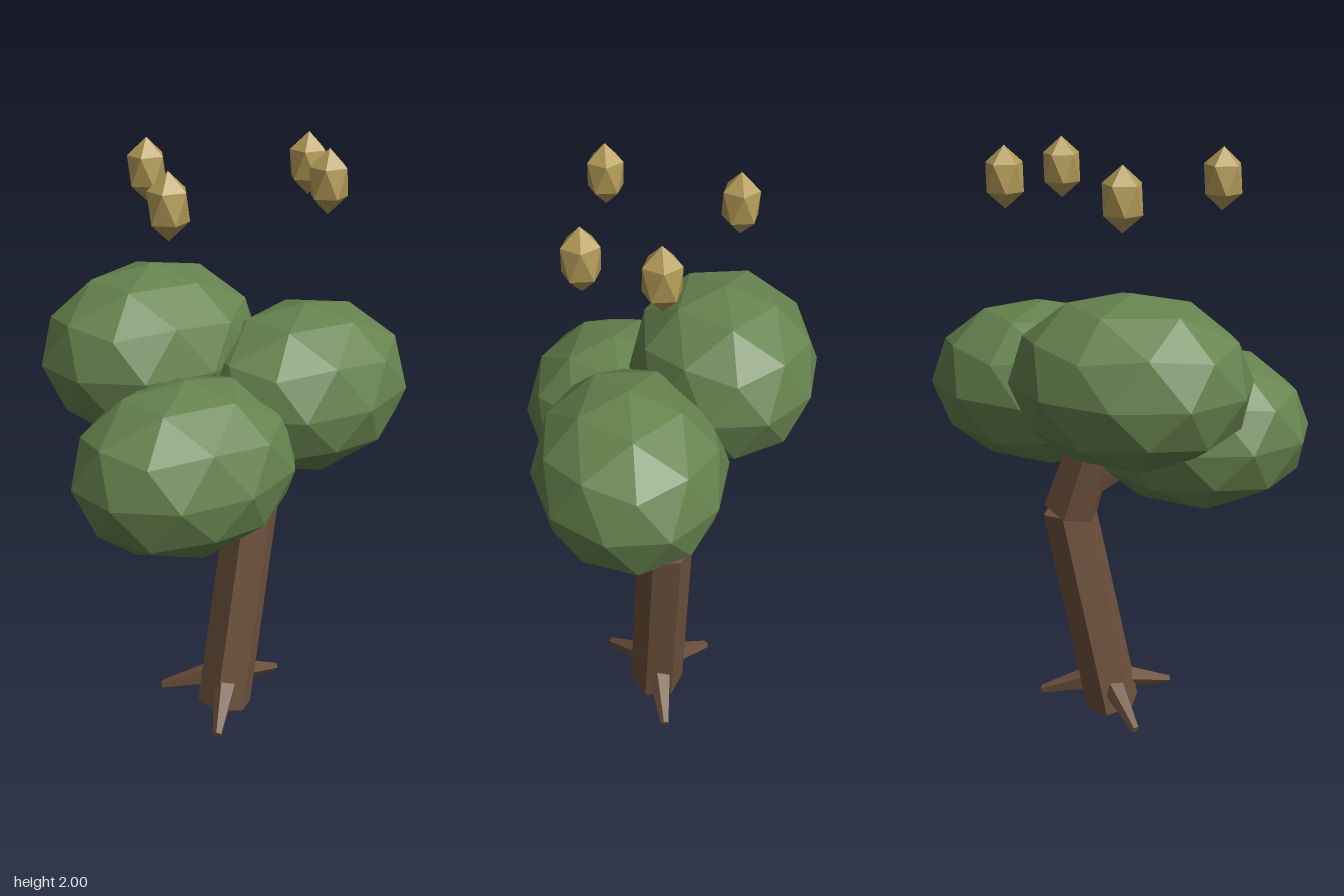
import * as THREE from 'three';

const material = (name, color) => {
  const m = new THREE.MeshStandardMaterial({ color, flatShading: true });
  m.name = name;
  return m;
};

// Icosphere with one vertex pointing straight up, scaled to an ellipsoid
function icoBall(detail, rx, ry, rz) {
  const g = new THREE.IcosahedronGeometry(1, detail);
  g.rotateZ(-Math.atan(2 / (1 + Math.sqrt(5))));
  g.scale(rx, ry, rz);
  return g;
}

// Tapered low-poly limb running from one point to another
function limb(name, from, to, r0, r1, sides, mat) {
  const a = new THREE.Vector3(...from);
  const b = new THREE.Vector3(...to);
  const dir = b.clone().sub(a);
  const mesh = new THREE.Mesh(new THREE.CylinderGeometry(r1, r0, dir.length(), sides), mat);
  mesh.name = name;
  mesh.position.copy(a).add(b).multiplyScalar(0.5);
  mesh.quaternion.setFromUnitVectors(new THREE.Vector3(0, 1, 0), dir.normalize());
  return mesh;
}

export function createModel() {
  const tree = new THREE.Group();
  tree.name = 'tree';
  const bark = material('bark brown', 0x6e523d);
  const leaf = material('leaf green', 0x66834e);
  const nut = material('nut gold', 0xb39b57);

  // Leaning trunk, its bent upper piece and a side branch
  tree.add(limb('trunk', [0, 0.02, 0.06], [0.148, 0.785, 0.038], 0.096, 0.092, 6, bark));
  tree.add(limb('upperTrunk', [0.14, 0.79, 0.035], [0.05, 1.08, 0.005], 0.098, 0.078, 6, bark));
  tree.add(limb('sideBranch', [0.14, 0.83, 0.05], [-0.12, 1.01, 0.12], 0.055, 0.045, 6, bark));

  // Three roots spreading from the trunk
  const rootTips = [[0.26, 0.04, 0.05], [-0.175, 0.04, 0.22], [-0.125, 0.04, -0.135]];
  for (const tip of rootTips) {
    tree.add(limb('root', [0.02, 0.135, 0.055], tip, 0.052, 0.015, 5, bark));
  }

  // Three leaf clumps
  const clump = icoBall(1, 0.388, 0.281, 0.306);
  for (const p of [[-0.11, 1.33, -0.175], [0.26, 1.2, 0.152], [-0.262, 1.074, 0.17]]) {
    const mesh = new THREE.Mesh(clump, leaf);
    mesh.name = 'leafClump';
    mesh.position.set(...p);
    tree.add(mesh);
  }

  // Four nuts floating above the crown
  const nutShape = icoBall(0, 0.0695, 0.1, 0.0655);
  for (const [x, z] of [[-0.327, 0.18], [-0.088, -0.212], [0.22, 0.273], [0.35, 0.057]]) {
    const mesh = new THREE.Mesh(nutShape, nut);
    mesh.name = 'nut';
    mesh.position.set(x, 1.9, z);
    tree.add(mesh);
  }
  return tree;
}
